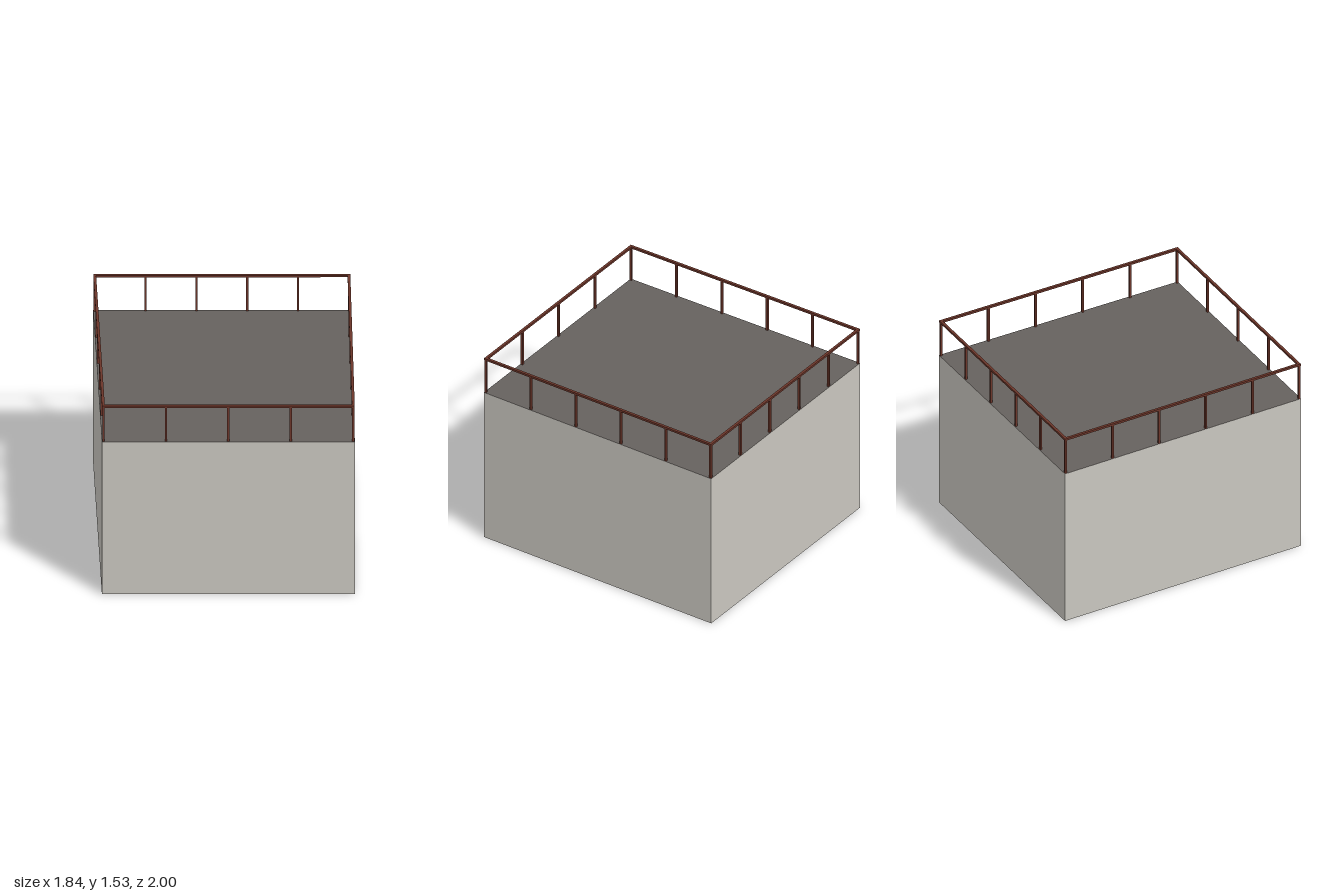
import * as THREE from 'three';

const WALL_H = 1.237;   // roof level
const RAIL_Y = 1.521;   // centre height of the handrail
const BAR = 0.016;      // thickness of posts
const RAIL_W = 0.02;    // width of the handrail
const INSET = 0.011;    // railing set in from the wall face

// Slightly skewed footprint as [x, z]: front right, front left, back left, back right
const CORNERS = [[-0.887, 0.968], [0.918, 0.998], [0.918, -0.972], [-0.918, -0.998]];
// Railing bays along the front, left, back and right edges
const BAYS = [4, 5, 5, 5];
const SIDES = ['front', 'left', 'back', 'right'];

export function createModel() {
  const wallMat = new THREE.MeshStandardMaterial({ color: 0xc9c6bf, side: THREE.DoubleSide });
  wallMat.name = 'pale concrete';
  const roofMat = new THREE.MeshStandardMaterial({ color: 0x66615e, side: THREE.DoubleSide });
  roofMat.name = 'dark roof grey';
  const railMat = new THREE.MeshStandardMaterial({ color: 0x6b3529 });
  railMat.name = 'rust brown';

  const model = new THREE.Group();
  model.name = 'flatRoofBuilding';

  const add = (parent, name, geometry, material, x, y, z, turn = 0) => {
    const mesh = new THREE.Mesh(geometry, material);
    mesh.name = name;
    mesh.position.set(x, y, z);
    mesh.rotation.y = turn;
    parent.add(mesh);
    return mesh;
  };

  // Flat roof
  const outline = new THREE.Shape(CORNERS.map(([x, z]) => new THREE.Vector2(x, -z)));
  add(model, 'roof', new THREE.ShapeGeometry(outline).rotateX(-Math.PI / 2), roofMat, 0, WALL_H, 0);

  // Railing corners, moved inward along both axes
  const railCorners = CORNERS.map(([x, z]) => [x - Math.sign(x) * INSET, z - Math.sign(z) * INSET]);
  const postH = RAIL_Y - WALL_H;
  const postGeo = new THREE.BoxGeometry(BAR, postH, BAR);

  SIDES.forEach((side, i) => {
    const next = (i + 1) % 4;

    // Thin open-bottomed wall
    const [ax, az] = CORNERS[i], [bx, bz] = CORNERS[next];
    const turn = Math.atan2(az - bz, bx - ax);
    add(model, side + 'Wall', new THREE.PlaneGeometry(Math.hypot(bx - ax, bz - az), WALL_H),
      wallMat, (ax + bx) / 2, WALL_H / 2, (az + bz) / 2, turn);

    // Handrail with evenly spaced posts
    const railing = new THREE.Group();
    railing.name = side + 'Railing';
    model.add(railing);
    const [px, pz] = railCorners[i], [qx, qz] = railCorners[next];
    const length = Math.hypot(qx - px, qz - pz) + RAIL_W;
    add(railing, side + 'Handrail', new THREE.BoxGeometry(length, BAR, RAIL_W),
      railMat, (px + qx) / 2, RAIL_Y, (pz + qz) / 2, turn);
    for (let k = 0; k < BAYS[i]; k++) {
      const t = k / BAYS[i];
      add(railing, side + 'Post', postGeo, railMat,
        px + (qx - px) * t, WALL_H + postH / 2, pz + (qz - pz) * t, turn);
    }
  });

  return model;
}
